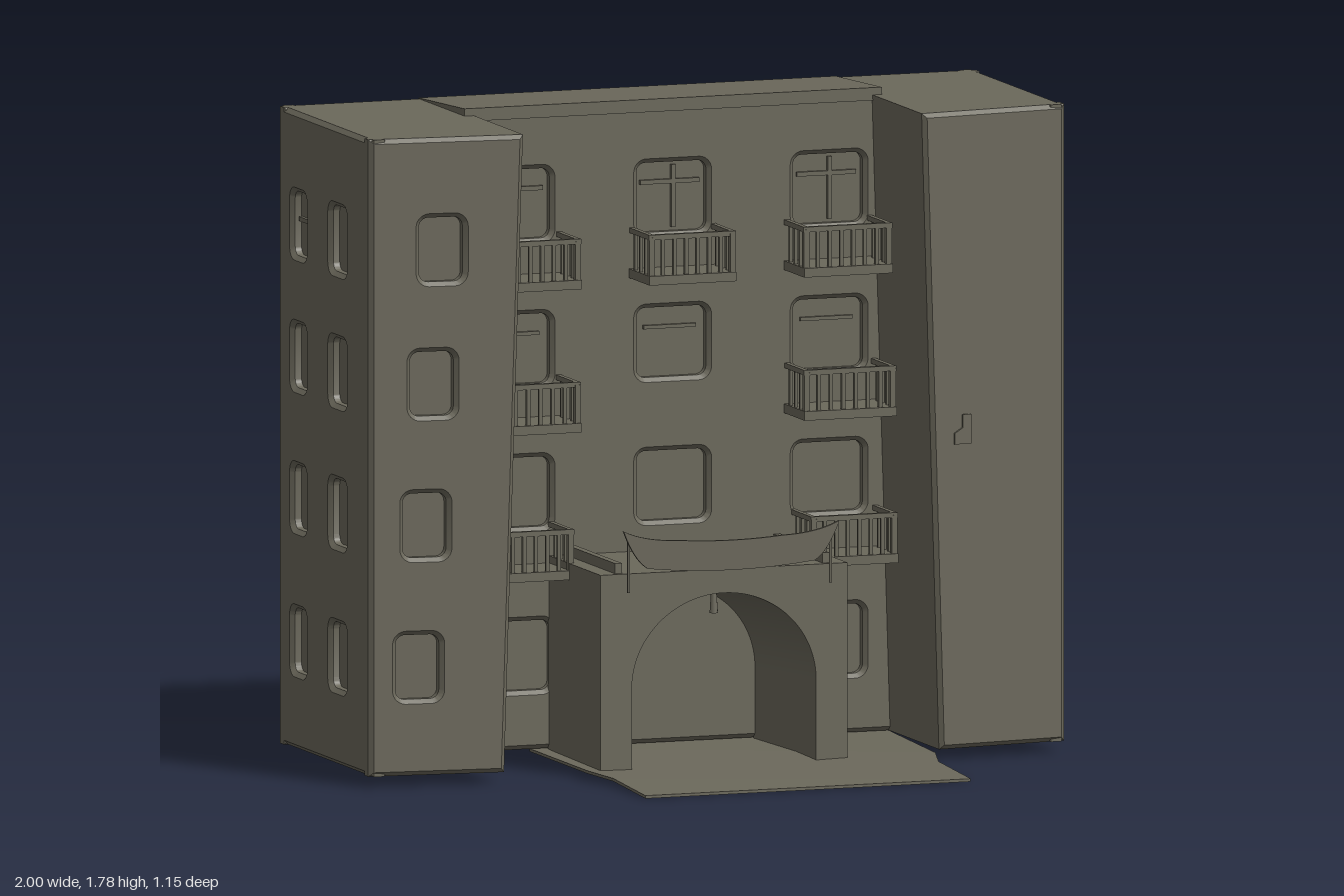
import * as THREE from 'three';
import { toCreasedNormals } from 'three/addons/utils/BufferGeometryUtils.js';

const plaster = new THREE.MeshStandardMaterial({ color: 0x6b685b });
plaster.name = 'plaster';

const BASE = 0.03, TOP = 1.765, BACK = -0.58, COURT = -0.22, RECESS = 0.03;
const ROWS = [1.515, 1.12, 0.73, 0.285];
const V = (x, y, z) => new THREE.Vector3(x, y, z);

function add(parent, name, geometry, x = 0, y = 0, z = 0) {
  const mesh = new THREE.Mesh(geometry, plaster);
  mesh.name = name;
  mesh.position.set(x, y, z);
  parent.add(mesh);
  return mesh;
}
const box = (parent, name, w, h, d, x, y, z) => add(parent, name, new THREE.BoxGeometry(w, h, d), x, y, z);

const polygon = (points) => new THREE.Shape(points.map(([x, y]) => new THREE.Vector2(x, y)));

// rounded window opening
function opening({ x, y, w, h }) {
  const r = 0.025, a = w / 2, b = h / 2, p = new THREE.Path();
  p.absarc(x + a - r, y + b - r, r, 0, Math.PI / 2);
  p.absarc(x - a + r, y + b - r, r, Math.PI / 2, Math.PI);
  p.absarc(x - a + r, y - b + r, r, Math.PI, Math.PI * 1.5);
  p.absarc(x + a - r, y - b + r, r, Math.PI * 1.5, Math.PI * 2);
  p.closePath();
  return p;
}

// wall skin with window holes; u, v, n are its axes, its outer face passes through origin
function facade(parent, name, points, windows, u, n, origin, soft = 0.012) {
  const shape = polygon(points);
  shape.holes = windows.map(opening);
  const geo = new THREE.ExtrudeGeometry(shape, {
    depth: 0.03, curveSegments: 4, bevelEnabled: true, bevelSegments: 1,
    bevelSize: soft, bevelOffset: -soft, bevelThickness: 0.012,
  });
  geo.translate(0, 0, -0.042);
  geo.applyMatrix4(new THREE.Matrix4().makeBasis(u, V(0, 1, 0), n).setPosition(origin));
  add(parent, name, toCreasedNormals(geo, 0.45));
}

const rect = (a, b, top = TOP) => [[a, BASE], [b, BASE], [b, top], [a, top]];

function wing(parent, s) {
  const g = new THREE.Group();
  g.name = s > 0 ? 'leftWing' : 'rightWing';
  parent.add(g);
  const outline = (outer) => {
    const pts = [[0.625, BASE], [outer, BASE], [outer, TOP], [0.573, TOP]].map(([x, y]) => [s * x, y]);
    return s > 0 ? pts : pts.reverse();
  };
  // the front slants forward towards the courtyard
  const slope = 0.1125, u = V(1, 0, -s * slope), front = 0.13 + slope;
  const windows = [0.8, 0.825, 0.845, 0.865].map((x, i) =>
    ({ x: s * x, y: [1.46, 1.095, 0.71, 0.325][i], w: 0.12, h: 0.175 }));
  facade(g, 'wingFront', outline(1), windows, u, V(0, 0, 1), V(0, 0, front));
  const core = new THREE.ExtrudeGeometry(polygon(outline(0.97)), { depth: 0.56, bevelEnabled: false });
  core.translate(0, 0, -0.56);
  core.applyMatrix4(new THREE.Matrix4().makeBasis(u, V(0, 1, 0), V(0, 0, 1)).setPosition(V(0, 0, front - RECESS)));
  core.computeVertexNormals();
  add(g, 'wingCore', core);
  // outer side wall
  const side = [];
  for (const y of [1.46, 1.1, 0.715, 0.325]) {
    side.push({ x: s * 0.12, y, w: 0.13, h: 0.18 }, { x: s * 0.425, y, w: 0.115, h: 0.175 });
  }
  const span = s > 0 ? rect(-0.13, -BACK) : rect(BACK, 0.13);
  facade(g, 'wingSide', span, side, V(0, 0, -s), V(s, 0, 0), V(s, 0, 0));
  box(g, 'sashBar', 0.012, 0.012, 0.1, s * 0.974, 1.47, -0.425);
}

function balcony(parent, x, y, w) {
  const g = new THREE.Group();
  g.name = 'balcony';
  g.position.set(x, y, COURT);
  parent.add(g);
  const d = 0.16, h = 0.115;
  box(g, 'balconyFloor', w, 0.025, d + 0.02, 0, 0.013, d / 2 - 0.01);
  box(g, 'frontRail', w, 0.014, 0.014, 0, h + 0.015, d - 0.012);
  for (const s of [-1, 1]) {
    box(g, 'sideRail', 0.014, 0.014, d, s * (w / 2 - 0.008), h + 0.015, d / 2 - 0.008);
    for (let i = 0; i < 3; i++) {
      box(g, 'sideBaluster', 0.009, h, 0.009, s * (w / 2 - 0.008), h / 2 + 0.015, 0.03 + i * 0.04);
    }
  }
  for (let i = 0; i < 8; i++) {
    const t = i === 0 || i === 7 ? 0.016 : 0.01;
    box(g, 'baluster', t, h, t, (i / 7 - 0.5) * (w - 0.018), h / 2 + 0.015, d - 0.012);
  }
}

function porch(parent) {
  const g = new THREE.Group();
  g.name = 'porch';
  parent.add(g);
  // arched gate, its passage narrowing inwards
  const arch = polygon([[0.265, 0.015], [0.355, 0.015], [0.355, 0.555], [-0.355, 0.555], [-0.355, 0.015], [-0.265, 0.015]]);
  arch.lineTo(-0.265, 0.24);
  arch.absellipse(0, 0.24, 0.265, 0.25, Math.PI, 0, true);
  arch.lineTo(0.265, 0.015);
  const geo = new THREE.ExtrudeGeometry(arch, { depth: 0.41, curveSegments: 24, bevelEnabled: false });
  const p = geo.attributes.position;
  for (let i = 0; i < p.count; i++) {
    if (p.getZ(i) < 0.1 && Math.abs(p.getX(i)) < 0.3) {
      p.setX(i, p.getX(i) * 0.89);
      if (p.getY(i) > 0.1) p.setY(i, p.getY(i) * 0.93);
    }
  }
  geo.translate(0, 0, -0.23);
  add(g, 'archedGate', toCreasedNormals(geo, 0.5));
  add(g, 'lamp', new THREE.CylinderGeometry(0.008, 0.012, 0.06, 8), 0, 0.455, 0.1);

  // swept awning board in front of the roof edge
  const board = new THREE.Shape();
  board.moveTo(-0.31, 0.68);
  board.quadraticCurveTo(-0.28, 0.6, -0.24, 0.575);
  board.quadraticCurveTo(0, 0.545, 0.24, 0.575);
  board.quadraticCurveTo(0.28, 0.6, 0.31, 0.68);
  board.quadraticCurveTo(0.25, 0.65, 0.15, 0.648);
  board.quadraticCurveTo(0, 0.635, -0.15, 0.648);
  board.quadraticCurveTo(-0.25, 0.65, -0.31, 0.68);
  const awning = new THREE.ExtrudeGeometry(board, { depth: 0.009, curveSegments: 8, bevelEnabled: false });
  add(g, 'awningBoard', awning, 0, 0, 0.217).rotation.x = 0.02;
  for (const s of [-1, 1]) {
    box(g, 'roofBeam', 0.02, 0.03, 0.38, s * 0.298, 0.568, -0.025);
    add(g, 'hangingRod', new THREE.CylinderGeometry(0.004, 0.004, 0.14, 6), s * 0.29, 0.58, 0.222);
  }
}

export function createModel() {
  const model = new THREE.Group();
  model.name = 'apartmentBlock';

  // main block between the wings
  box(model, 'mainCore', 1.94, TOP - BASE, -BACK + COURT - 2 * RECESS, 0, (TOP + BASE) / 2, (BACK + COURT) / 2);
  const windows = [];
  ROWS.forEach((y, row) => [-0.45, 0, 0.45].forEach((x) => {
    if (row < 3 || x) windows.push({ x, y, w: 0.2, h: 0.19 });
  }));
  facade(model, 'courtyardWall', rect(-0.65, 0.65), windows, V(1, 0, 0), V(0, 0, 1), V(0, 0, COURT));
  facade(model, 'backWall', rect(-1, 1), windows, V(-1, 0, 0), V(0, 0, -1), V(0, 0, BACK));

  // low sloping roof
  const slope = polygon([[0.575, 1.75], [0.575, 1.767], [0.215, 1.785], [0.215, 1.75]].reverse());
  const roof = new THREE.ExtrudeGeometry(slope, { depth: 1.2, bevelEnabled: false });
  roof.rotateY(Math.PI / 2);
  add(model, 'roof', roof, -0.6, 0, 0);

  // window bars
  for (const x of [-0.45, 0, 0.45]) {
    box(model, 'windowMullion', 0.012, 0.17, 0.012, x + 0.01, ROWS[0], COURT - 0.026);
    box(model, 'windowTransom', 0.17, 0.012, 0.012, x, ROWS[0] + 0.04, COURT - 0.026);
    box(model, 'windowTransom', 0.15, 0.01, 0.012, x, ROWS[1] + 0.04, COURT - 0.026);
  }

  for (const s of [-1, 1]) {
    wing(model, s);
    balcony(model, s * 0.447, 1.3, 0.255);
    balcony(model, s * 0.453, 0.91, 0.265);
    balcony(model, s * 0.465, 0.51, 0.25);
  }
  balcony(model, 0, 1.3, 0.25);
  porch(model);

  // ground apron, sloping down towards the front
  const outline = [[-0.4, -0.25], [-0.4, 0.2], [-0.37, 0.32], [-0.37, 0.57], [0.565, 0.57], [0.565, 0.32], [0.6, 0.2], [0.63, -0.25]];
  const apron = new THREE.ExtrudeGeometry(polygon(outline.map(([x, z]) => [x, -z])), { depth: 0.008, bevelEnabled: false });
  apron.rotateX(-Math.PI / 2);
  const p = apron.attributes.position;
  for (let i = 0; i < p.count; i++) {
    p.setY(i, p.getY(i) + 0.02 * (1 - Math.max(0, (p.getZ(i) - 0.2) / 0.37)));
  }
  apron.computeVertexNormals();
  add(model, 'groundApron', apron);

  // small plate on the left wing
  const plate = polygon([[-0.025, -0.04], [0.025, -0.04], [0.025, 0.04], [0, 0.04], [0, 0.005], [-0.025, -0.01]]);
  add(model, 'wallPlate', new THREE.ExtrudeGeometry(plate, { depth: 0.008, bevelEnabled: false }), 0.69, 0.9, 0.163)
    .rotation.y = 0.112;
  return model;
}
